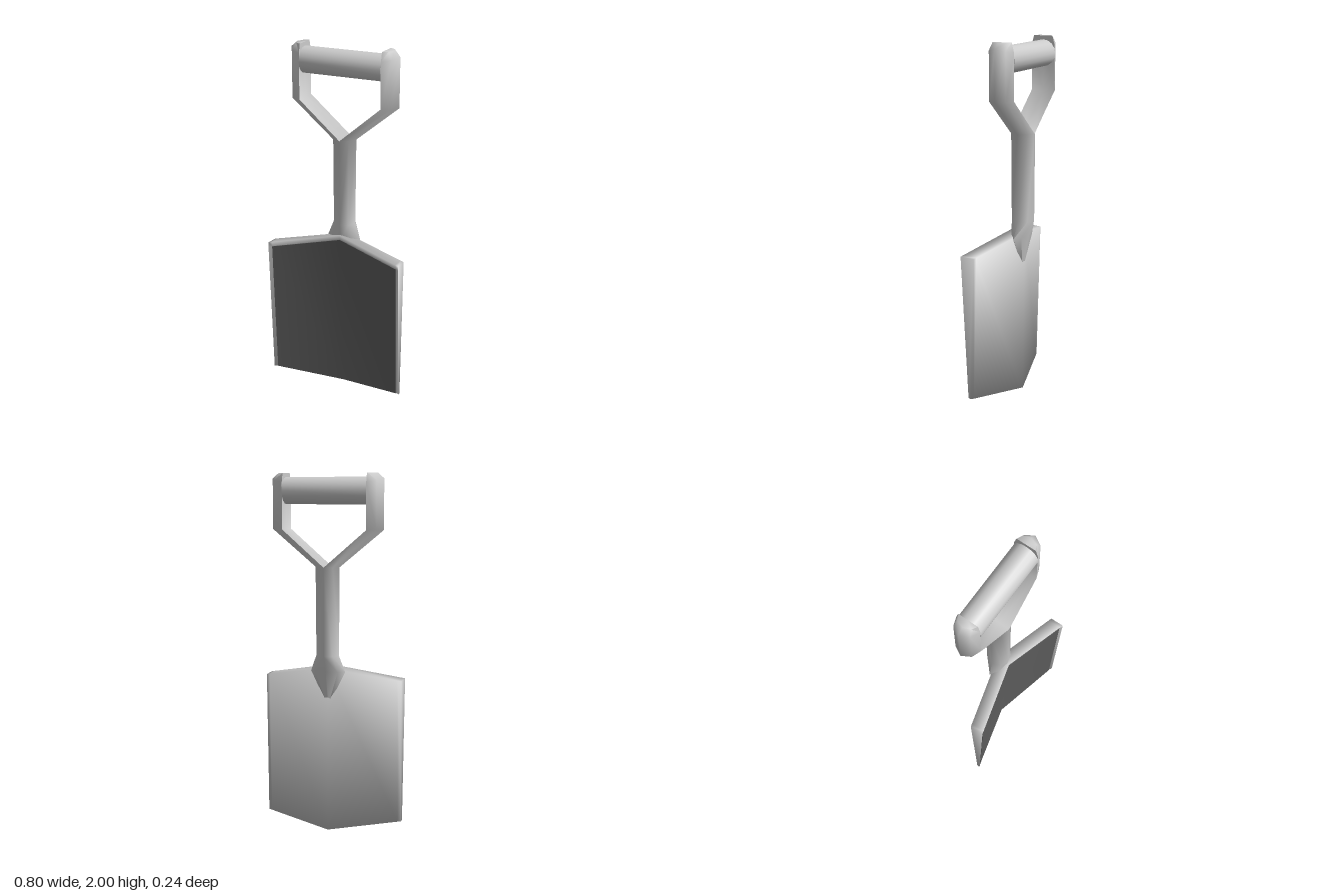
import * as THREE from 'three';
import { toCreasedNormals } from 'three/addons/utils/BufferGeometryUtils.js';

const steel = new THREE.MeshStandardMaterial({ color: 0xcccccc });
const darkSteel = new THREE.MeshStandardMaterial({ color: 0x5e5e5e });
const AXIS_Z = -0.05; // depth of the shaft and handle centre line

function part(name, geometry, crease, material = steel) {
  const mesh = new THREE.Mesh(toCreasedNormals(geometry, crease), material);
  mesh.name = name;
  return mesh;
}

// Skin a list of equal-length rings (counter-clockwise seen from the last ring's side) and cap both ends.
function loft(rings) {
  const n = rings[0].length, last = (rings.length - 1) * n, index = [];
  for (let r = 0; r < rings.length - 1; r++) {
    for (let i = 0; i < n; i++) {
      const j = (i + 1) % n, a = r * n + i, b = r * n + j;
      index.push(a, b, b + n, a, b + n, a + n);
    }
  }
  for (let i = 0; i < n - 2; i++) {
    index.push(n - 1, i + 1, i);
    index.push(last + n - 1, last + i, last + i + 1);
  }
  const g = new THREE.BufferGeometry();
  g.setAttribute('position', new THREE.Float32BufferAttribute(rings.flat(2), 3));
  g.setIndex(index);
  return g;
}

// Half-octagon ring of width w and depth 2d, flat side at x; heights run from the flat side to the outer point
function halfOctagon(x, w, d, y, yMid = y, yOuter = y, z = AXIS_Z) {
  return [
    [x, y, z + d], [x + 0.66 * w, yMid, z + 0.71 * d], [x + w, yOuter, z],
    [x + 0.66 * w, yMid, z - 0.71 * d], [x, y, z - d], [x, y, z],
  ];
}

// Let the two mirrored halves shade as one surface where they meet at x = 0
function smoothSeam(geometry) {
  const { position, normal } = geometry.attributes;
  const v = new THREE.Vector3();
  for (let i = 0; i < position.count; i++) {
    if (Math.abs(position.getX(i)) > 1e-5) continue;
    v.fromBufferAttribute(normal, i).setX(0).normalize();
    normal.setXYZ(i, v.x, v.y, v.z);
  }
}

// Front face of the V-shaped blade below the rim: bottom and top point, set back by a recess
function frontEdge(x, recess) {
  const s = Math.abs(x) / 0.4;
  return [
    [x, 0.003 + 0.055 * s, -0.03 + 0.11 * s - recess],
    [x, 0.912 - 0.075 * s, 0.019 + 0.1 * s - recess],
  ];
}

// Full slice of the blade: thick at the top, thin at the bottom
function bladeSlice(x, recess) {
  const s = Math.abs(x) / 0.4;
  const [bottom, top] = frontEdge(x, recess);
  return [
    [x, 0.055 * s, -0.05 + 0.112 * s],
    [x, 0.93 - 0.07 * s, -0.06 + 0.1 * s],
    [x, 0.94 - 0.075 * s, 0.02 + 0.1 * s],
    top, bottom,
  ];
}

// Slice of the thin plate lying in the blade's recess
function panelSlice(x) {
  const [frontBottom, frontTop] = frontEdge(x, 0.004);
  const [backBottom, backTop] = frontEdge(x, 0.009);
  return [backBottom, backTop, frontTop, frontBottom];
}

export function createModel() {
  const model = new THREE.Group();
  model.name = 'shovel';

  // Blade with a narrow raised rim at the sides and top
  model.add(part('blade', loft([
    bladeSlice(-0.4, 0), bladeSlice(-0.38, 0.01), bladeSlice(0, 0.01),
    bladeSlice(0.38, 0.01), bladeSlice(0.4, 0),
  ]), Math.PI));

  // Dark front of the blade
  model.add(part('bladeFront', loft([-0.381, 0, 0.381].map(panelSlice)), 0.6, darkSteel));

  // Handle halves: socket fading into the blade's back, shaft, forked arm and bevelled tip
  const half = loft([
    halfOctagon(0, 0.01, 0.006, 0.73, 0.73, 0.73, -0.046),
    halfOctagon(0, 0.1, 0.044, 0.91, 0.91, 0.91, -0.042),
    halfOctagon(0, 0.066, 0.067, 1.0),
    halfOctagon(0, 0.07, 0.07, 1.49),
    halfOctagon(0.24, 0.08, 0.07, 1.695),
    halfOctagon(0.24, 0.08, 0.07, 1.95, 1.96, 1.97),
    halfOctagon(0.24, 0.045, 0.057, 2.0),
  ]);
  for (const side of [1, -1]) {
    const mesh = part(side > 0 ? 'leftHandleHalf' : 'rightHandleHalf', half, 1.3);
    smoothSeam(mesh.geometry);
    mesh.scale.x = side;
    model.add(mesh);
  }

  // Grip bar between the arms
  const grip = part('grip', new THREE.CylinderGeometry(0.074, 0.074, 0.48, 16), 0.9);
  grip.rotation.z = Math.PI / 2;
  grip.position.set(0, 1.905, AXIS_Z);
  model.add(grip);

  return model;
}
